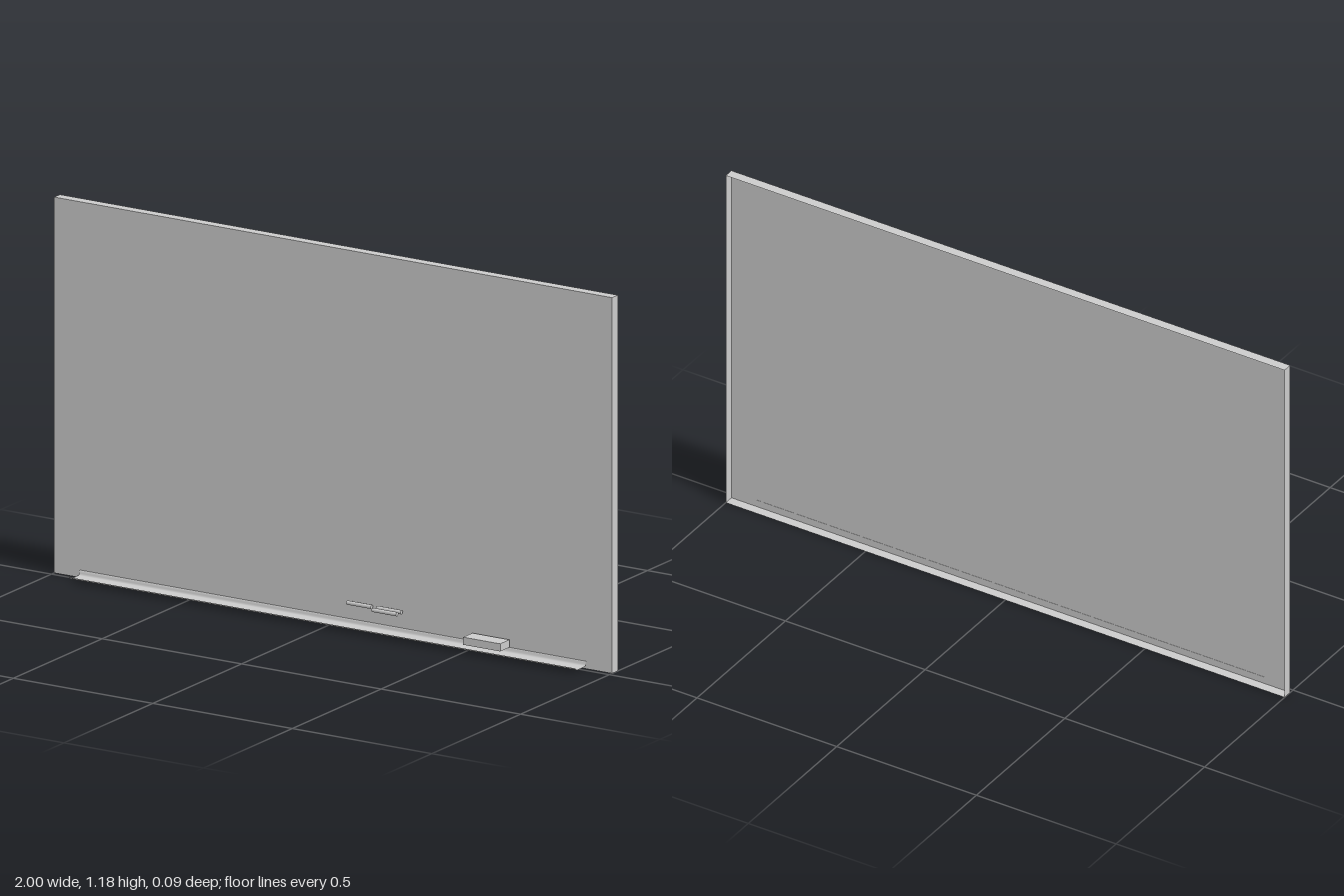
import * as THREE from 'three';

const grey = new THREE.MeshStandardMaterial({ color: 0xcccccc });
const sheet = new THREE.MeshStandardMaterial({ color: 0xcccccc, side: THREE.DoubleSide });

function addPart(group, name, geometry, material, x, y, z) {
  const mesh = new THREE.Mesh(geometry, material);
  mesh.name = name;
  mesh.position.set(x, y, z);
  group.add(mesh);
  return mesh;
}

// Thin sheet swept along x, following a [z, y] profile from back to front
function sweptSheet(width, profile) {
  const geometry = new THREE.PlaneGeometry(width, 1, 1, profile.length - 1);
  const position = geometry.attributes.position;
  profile.forEach(([z, y], row) => {
    for (let side = 0; side < 2; side++) {
      const i = row * 2 + side;
      position.setXYZ(i, position.getX(i), y, z);
    }
  });
  geometry.computeVertexNormals();
  return geometry;
}

export function createModel() {
  const group = new THREE.Group();

  // Board: shallow shell with an open back (the last box side is dropped)
  const height = 1.185, depth = 0.032;
  const shell = new THREE.BoxGeometry(2, height, depth);
  shell.setIndex(Array.from(shell.index.array).slice(0, 30));
  shell.clearGroups();
  addPart(group, 'board', shell, sheet, 0, height / 2, -0.0155 - depth / 2);

  // Tray: curved back flange, flat bottom and raised front lip
  const profile = [
    [-0.0165, 0.024], [-0.0145, 0.0235], [-0.0125, 0.021], [-0.0115, 0.015],
    [-0.0095, 0.011], [-0.006, 0.009], [0.01, 0.0085], [0.036, 0.009],
    [0.041, 0.0105], [0.045, 0.013], [0.0475, 0.017],
  ];
  addPart(group, 'tray', sweptSheet(1.815, profile), sheet, 0, 0, 0);

  // Eraser block above the tray
  addPart(group, 'eraser', new THREE.BoxGeometry(0.133, 0.024, 0.052), grey, 0.571, 0.039, 0.019);

  // Chalk sticks: [x, z] centres
  const stick = new THREE.CylinderGeometry(0.0065, 0.0065, 0.088, 16).rotateZ(Math.PI / 2);
  [[0.105, 0.001], [0.212, 0.001], [0.212, 0.026]].forEach(([x, z], i) => {
    addPart(group, `chalkStick${i + 1}`, stick, grey, x, 0.079, z);
  });

  return group;
}
